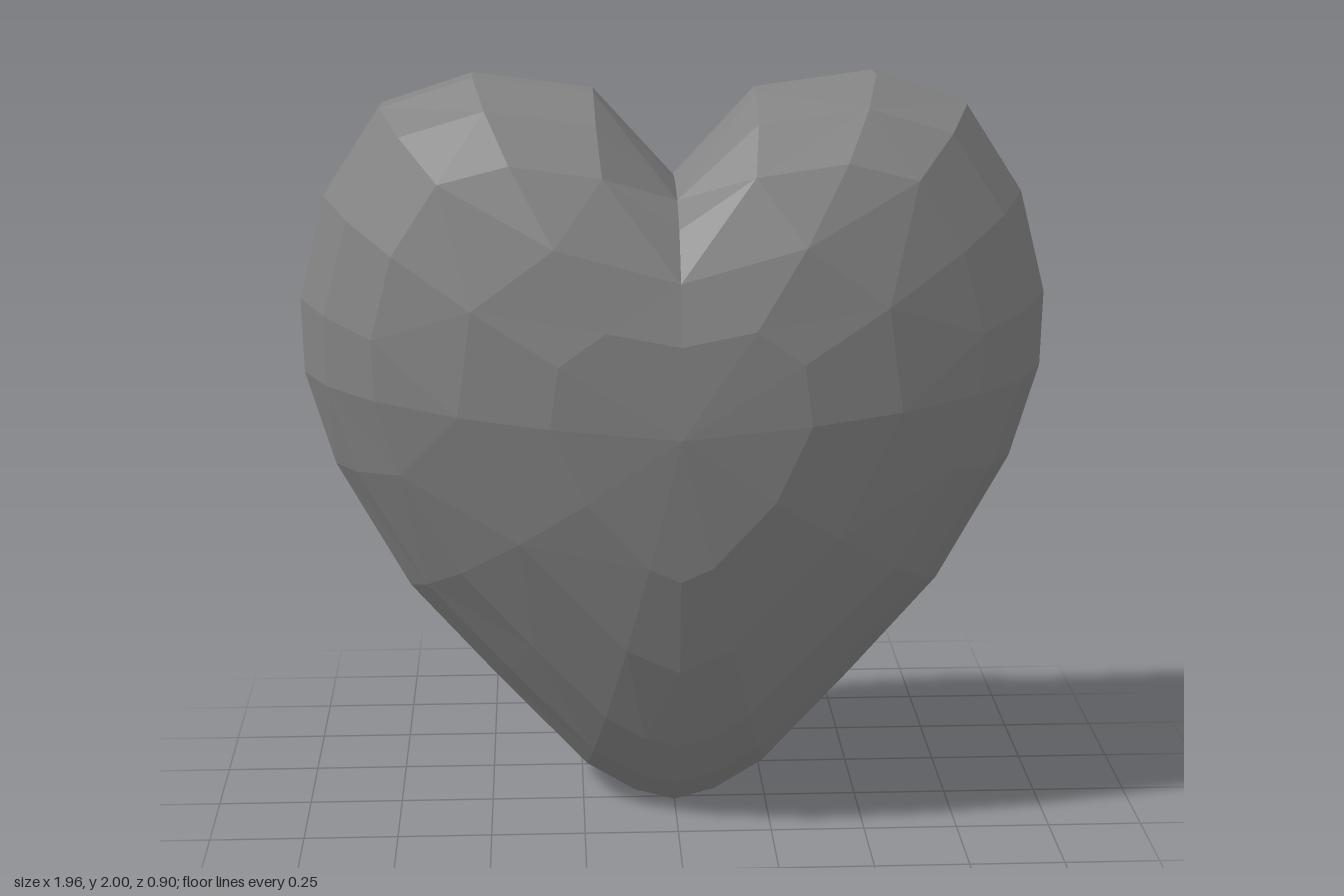
import * as THREE from 'three';

// Right half of the heart outline, from the top notch down to the tip
const OUTLINE = [
  [0, 1.73], [0.21, 1.96], [0.52, 2.0], [0.76, 1.92], [0.91, 1.69], [0.98, 1.42],
  [0.975, 1.22], [0.9, 0.97], [0.71, 0.63], [0.475, 0.365], [0.24, 0.11], [0.11, 0.03], [0, 0],
];
// The notch fills up toward the middle of each face: x and y offsets of the first points
const NOTCH_FILL = [[0, 0.12], [0.09, -0.06], [0.04, -0.06]];
// Concentric rings; the doubled first one makes the narrow belt around the rim
const RINGS = [1, 1, 0.93, 0.8, 0.58, 0.34, 0];
const FIRST_COARSE_RING = 4;
const CENTER_Y = 1.14;
const DEPTH = 0.45;

// Point on a ring: the outline shrunk to the centre and puffed out in z
function ringPoint(i, k) {
  const s = RINGS[k];
  const [fillX, fillY] = NOTCH_FILL[i] ?? [0, 0];
  const fill = 1 - s * s;
  const x = OUTLINE[i][0] + fillX * fill;
  const y = OUTLINE[i][1] + fillY * fill;
  const down = Math.max(0, (CENTER_Y - y) / CENTER_Y);
  // Leaner toward the tip
  const puff = Math.pow(1 - Math.pow(s, 2.45 - 0.55 * down), 0.5 + 0.21 * down);
  const rim = 0.05 * (1 - 0.6 * down);
  const z = k === 0 ? 0 : Math.max(rim, DEPTH * puff);
  return [x * s, CENTER_Y + (y - CENTER_Y) * s, z];
}

function heartGeometry() {
  const positions = [];

  // Add a triangle to all four quarters; the sides lean slightly to the back
  const addTriangle = (a, b, c) => {
    for (const sx of [1, -1]) {
      for (const sz of [1, -1]) {
        const corners = sx * sz > 0 ? [a, b, c] : [a, c, b];
        for (const [x, y, z] of corners) positions.push(x * sx, y, z * sz - 0.05 * x * x);
      }
    }
  };

  for (let k = 0; k < RINGS.length - 1; k++) {
    const step = k + 1 >= FIRST_COARSE_RING ? 2 : 1;
    for (let i = 0; i < OUTLINE.length - 1; i += step) {
      const o0 = ringPoint(i, k);
      const o1 = ringPoint(i + step, k);
      const n0 = ringPoint(i, k + 1);
      const n1 = ringPoint(i + step, k + 1);
      if (RINGS[k + 1] === 0) {
        addTriangle(o0, n0, o1);
      } else if (k + 1 === FIRST_COARSE_RING) {
        // Two outer edges meet one inner edge
        const middle = ringPoint(i + 1, k);
        addTriangle(o0, n0, middle);
        addTriangle(middle, n0, n1);
        addTriangle(middle, n1, o1);
      } else if ((i / step + k) % 2) {
        // Alternating diagonals give the irregular facets
        addTriangle(o0, n0, o1);
        addTriangle(o1, n0, n1);
      } else {
        addTriangle(o0, n0, n1);
        addTriangle(o0, n1, o1);
      }
    }
  }

  const geometry = new THREE.BufferGeometry();
  geometry.setAttribute('position', new THREE.Float32BufferAttribute(positions, 3));
  geometry.computeVertexNormals();
  return geometry;
}

export function createModel() {
  const group = new THREE.Group();
  group.name = 'heartModel';
  const material = new THREE.MeshStandardMaterial({ color: 0x848484, flatShading: true });
  const heart = new THREE.Mesh(heartGeometry(), material);
  heart.name = 'heart';
  group.add(heart);
  return group;
}
